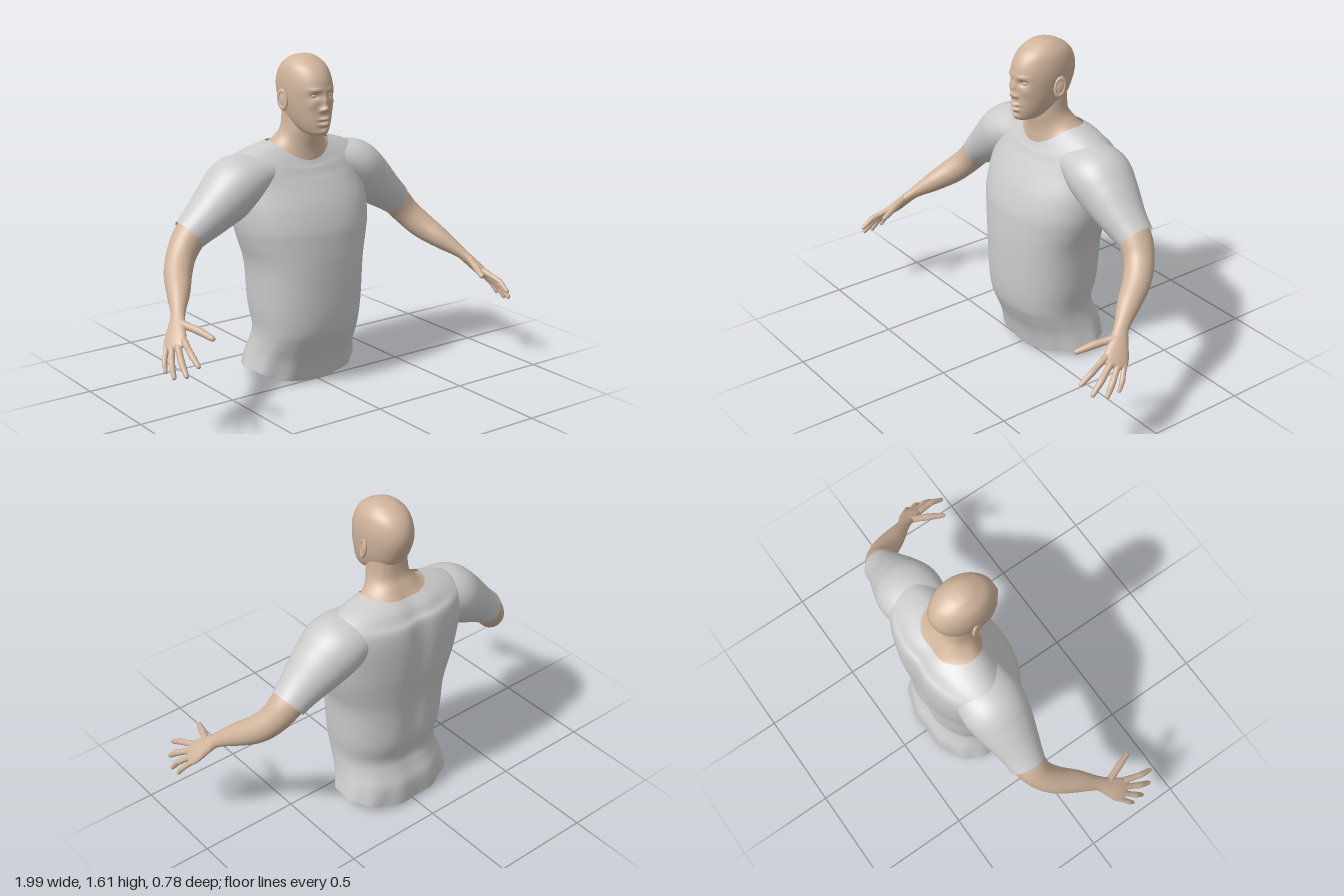
import * as THREE from 'three';

const cloth = new THREE.MeshStandardMaterial({ color: 0xcccccc, side: THREE.DoubleSide });
const skin = new THREE.MeshStandardMaterial({ color: 0xd0b49c });
const innerSkin = new THREE.MeshStandardMaterial({ color: 0xd0b49c, side: THREE.DoubleSide });

// Smoothly refine a list of number rows (Catmull-Rom)
function refine(rows, steps) {
  const out = [], last = rows.length - 1;
  for (let k = 0; k < last; k++) {
    const [a, b, c, d] = [rows[Math.max(k - 1, 0)], rows[k], rows[k + 1], rows[Math.min(k + 2, last)]];
    for (let s = 0; s < steps; s++) {
      const t = s / steps;
      out.push(b.map((_, i) => 0.5 * (2 * b[i] + (c[i] - a[i]) * t +
        (2 * a[i] - 5 * b[i] + 4 * c[i] - d[i]) * t * t +
        (3 * b[i] - a[i] - 3 * c[i] + d[i]) * t * t * t)));
    }
  }
  out.push(rows[last]);
  return out;
}

// Closed-ring surface; point(j, angle) gives a Vector3
function skinRings(rings, sides, point) {
  const pos = [], idx = [];
  for (let j = 0; j < rings; j++) {
    for (let i = 0; i < sides; i++) {
      pos.push(...point(j, (i / sides) * Math.PI * 2).toArray());
      if (j === rings - 1) continue;
      const a = j * sides + i, b = j * sides + (i + 1) % sides;
      idx.push(a, b, b + sides, a, b + sides, a + sides);
    }
  }
  const g = new THREE.BufferGeometry();
  g.setAttribute('position', new THREE.Float32BufferAttribute(pos, 3));
  g.setIndex(idx);
  g.computeVertexNormals();
  return g;
}

// Upright body loft: rows of [y, halfWidth, zFront, zBack, frontDip, backDip, exponent]
function bodyLoft(rows, steps, sides, shape = (p) => p) {
  const r = refine(rows, steps);
  return skinRings(r.length, sides, (j, ang) => {
    const [y, w, zf, zb, df, db, n] = r[j];
    const s = Math.sin(ang), c = Math.cos(ang);
    const f = (v) => Math.sign(v) * Math.abs(v) ** (2 / n);
    const dip = (c > 0 ? df : db) * c * c;
    return shape(new THREE.Vector3(w * f(s), y - dip, (zf + zb) / 2 + (zf - zb) / 2 * f(c)), ang);
  });
}

// Limb loft: rows of [x, y, z, radiusAlongRef, radiusAcross]
function limbLoft(rows, ref, steps, sides) {
  const r = refine(rows, steps);
  const at = (j) => new THREE.Vector3(...r[Math.min(Math.max(j, 0), r.length - 1)].slice(0, 3));
  return skinRings(r.length, sides, (j, ang) => {
    const t = at(j + 1).sub(at(j - 1)).normalize();
    const u = ref.clone().addScaledVector(t, -ref.dot(t)).normalize();
    const v = t.clone().cross(u);
    return at(j).addScaledVector(u, r[j][3] * Math.cos(ang)).addScaledVector(v, r[j][4] * Math.sin(ang));
  });
}

const torsoRows = [
  [0.07, 0.305, 0.02, -0.365, 0.06, 0.05, 2.3],
  [0.14, 0.285, 0.05, -0.362, 0.02, 0.01, 2.3],
  [0.21, 0.272, 0.09, -0.335, 0, 0, 2.3],
  [0.28, 0.27, 0.117, -0.322, 0, 0, 2.3],
  [0.4, 0.285, 0.13, -0.352, 0, 0, 2.3],
  [0.6, 0.3, 0.13, -0.362, 0, 0, 2.3],
  [0.72, 0.335, 0.122, -0.378, 0, 0, 2.2],
  [0.8, 0.355, 0.11, -0.388, 0, 0, 2.2],
  [0.9, 0.365, 0.075, -0.395, 0, 0, 2.2],
  [1.0, 0.37, 0.02, -0.395, 0, 0, 2.2],
  [1.08, 0.37, -0.005, -0.385, 0.04, 0, 2.1],
  [1.13, 0.345, -0.02, -0.36, 0.06, 0.02, 2],
  [1.165, 0.27, -0.03, -0.335, 0.08, 0.02, 2],
  [1.195, 0.165, -0.04, -0.3, 0.09, 0.02, 2],
];

// Spine groove and soft folds near the hem
function drape(p, ang) {
  if (p.z < -0.2) p.z += 0.016 * Math.exp(-((p.x / 0.06) ** 2)) * Math.min(1, p.y * 2);
  const fold = 0.005 * Math.sin(ang * 11 + 1) * Math.exp(-((p.y / 0.16) ** 2));
  p.x *= 1 + fold * 3;
  p.z += fold * Math.cos(ang);
  return p;
}

// Face relief: [x, y, spreadX, spreadY, depth], mirrored when x > 0
const relief = [
  [0, 1.4, 0.013, 0.028, 0.017], [0, 1.368, 0.016, 0.014, 0.022], [0.018, 1.362, 0.009, 0.009, 0.011],
  [0.043, 1.428, 0.022, 0.014, -0.016], [0.045, 1.458, 0.03, 0.009, 0.006],
  [0, 1.319, 0.026, 0.008, 0.017], [0, 1.293, 0.022, 0.009, 0.015], [0, 1.306, 0.026, 0.004, -0.008],
  [0, 1.275, 0.025, 0.006, -0.004], [0, 1.255, 0.024, 0.012, 0.008], [0.062, 1.385, 0.02, 0.02, 0.005],
];
function face(p) {
  if (p.z < -0.06) return p;
  let d = 0;
  for (const [x, y, sx, sy, h] of relief)
    for (const s of x > 0 ? [-1, 1] : [1])
      d += h * Math.exp(-(((p.x - s * x) / sx) ** 2) - ((p.y - y) / sy) ** 2);
  p.z += d;
  return p;
}

export function createModel() {
  const model = new THREE.Group();
  const add = (parent, name, geo, mat) => {
    const m = new THREE.Mesh(geo, mat);
    m.name = name;
    parent.add(m);
    return m;
  };

  // Shirt body, with the skin torso and neck just inside it
  add(model, 'shirtBody', bodyLoft(torsoRows, 6, 96, drape), cloth);
  const inset = torsoRows.slice(0, -1).map(([y, w, f, b, ...rest]) => [y - 0.008, w - 0.014, f - 0.014, b + 0.014, ...rest]);
  add(model, 'torsoAndNeck', bodyLoft([...inset,
    [1.18, 0.165, -0.043, -0.295, 0.08, 0.015, 2],
    [1.215, 0.118, -0.045, -0.262, 0.05, 0, 2],
    [1.26, 0.097, -0.035, -0.238, 0.01, 0, 2],
    [1.34, 0.09, -0.04, -0.23, 0, 0, 2],
  ], 5, 64, drape), innerSkin);

  // Head
  const head = new THREE.Group();
  head.name = 'head';
  model.add(head);
  add(head, 'skull', bodyLoft([
    [1.24, 0.004, 0.01, -0.01, 0, 0, 2], [1.238, 0.035, 0.043, -0.06, 0, 0, 2],
    [1.25, 0.058, 0.054, -0.1, 0, 0, 2], [1.285, 0.08, 0.06, -0.17, 0, 0, 2.1],
    [1.33, 0.096, 0.06, -0.222, 0, 0, 2.2], [1.38, 0.107, 0.06, -0.25, 0, 0, 2.2],
    [1.45, 0.115, 0.063, -0.272, 0, 0, 2.1], [1.51, 0.112, 0.05, -0.267, 0, 0, 2],
    [1.56, 0.096, 0.015, -0.235, 0, 0, 2], [1.595, 0.062, -0.04, -0.18, 0, 0, 2],
    [1.608, 0.03, -0.078, -0.135, 0, 0, 2], [1.611, 0.001, -0.105, -0.107, 0, 0, 2],
  ], 12, 128, face), skin);
  for (const s of [-1, 1]) {
    const eye = add(head, 'eye', new THREE.SphereGeometry(0.017, 20, 14), skin);
    eye.scale.set(1.1, 0.7, 1);
    eye.position.set(s * 0.043, 1.428, 0.028);
    const ear = new THREE.Group();
    ear.name = 'ear';
    ear.position.set(s * 0.122, 1.4, -0.112);
    ear.rotation.set(-0.2, s * (Math.PI / 2 - 0.35), 0);
    const rim = add(ear, 'earRim', new THREE.TorusGeometry(0.023, 0.007, 10, 28), skin);
    rim.scale.set(1, 1.75, 1.1);
    const bowl = add(ear, 'earBowl', new THREE.SphereGeometry(0.022, 18, 12), skin);
    bowl.scale.set(1, 1.7, 0.35);
    head.add(ear);
  }

  // Sleeves, arms and hands
  for (const s of [1, -1]) {
    const side = s > 0 ? 'left' : 'right';
    const flip = (rows) => rows.map(([x, ...rest]) => [x * s, ...rest]);
    add(model, side + 'Sleeve', limbLoft(flip([
      [0.2, 1.06, -0.185, 0.14, 0.09], [0.33, 1.015, -0.18, 0.16, 0.135], [0.42, 0.95, -0.175, 0.145, 0.13],
      [0.51, 0.88, -0.172, 0.118, 0.107], [0.57, 0.835, -0.173, 0.1, 0.092], [0.617, 0.8, -0.175, 0.09, 0.083],
    ]), new THREE.Vector3(0, 0, 1), 7, 48), cloth);

    const across = new THREE.Vector3(-0.055 * s, 0.04, 0.1).normalize();
    add(model, side + 'Arm', limbLoft(flip([
      [0.5, 0.89, -0.173, 0.08, 0.08], [0.605, 0.807, -0.17, 0.083, 0.078], [0.675, 0.725, -0.145, 0.072, 0.07],
      [0.732, 0.655, -0.085, 0.066, 0.066], [0.785, 0.595, 0.005, 0.055, 0.052], [0.84, 0.535, 0.092, 0.036, 0.03],
      [0.87, 0.497, 0.13, 0.043, 0.026], [0.905, 0.45, 0.173, 0.058, 0.024], [0.928, 0.42, 0.2, 0.056, 0.018],
      [0.936, 0.41, 0.209, 0.035, 0.008], [0.938, 0.408, 0.211, 0.001, 0.001],
    ]), across, 6, 32), skin);

    // Digits: [name, knuckle, middle joint, tip, radius]
    for (const [name, a, b, c, r] of [
      ['Thumb', [0.862, 0.505, 0.15], [0.825, 0.487, 0.24], [0.793, 0.462, 0.325], 0.017],
      ['IndexFinger', [0.895, 0.447, 0.238], [0.912, 0.418, 0.32], [0.912, 0.375, 0.388], 0.0145],
      ['MiddleFinger', [0.917, 0.43, 0.215], [0.946, 0.383, 0.293], [0.955, 0.327, 0.355], 0.015],
      ['RingFinger', [0.935, 0.417, 0.19], [0.97, 0.364, 0.25], [0.983, 0.307, 0.292], 0.014],
      ['LittleFinger', [0.945, 0.41, 0.162], [0.978, 0.362, 0.2], [0.99, 0.318, 0.228], 0.012],
    ]) {
      const mix = (p, q, t) => p.map((v, i) => v + (q[i] - v) * t);
      add(model, side + name, limbLoft(flip([
        [...mix(a, b, -0.25), r * 1.1, r * 1.1], [...a, r * 1.15, r * 1.15], [...mix(a, b, 0.5), r, r], [...b, r * 1.05, r * 1.05],
        [...mix(b, c, 0.55), r * 0.88, r * 0.88], [...mix(b, c, 0.88), r * 0.72, r * 0.72],
        [...mix(b, c, 0.98), r * 0.4, r * 0.4], [...c, 0.0005, 0.0005],
      ]), across, 4, 14), skin);
    }
  }
  return model;
}
